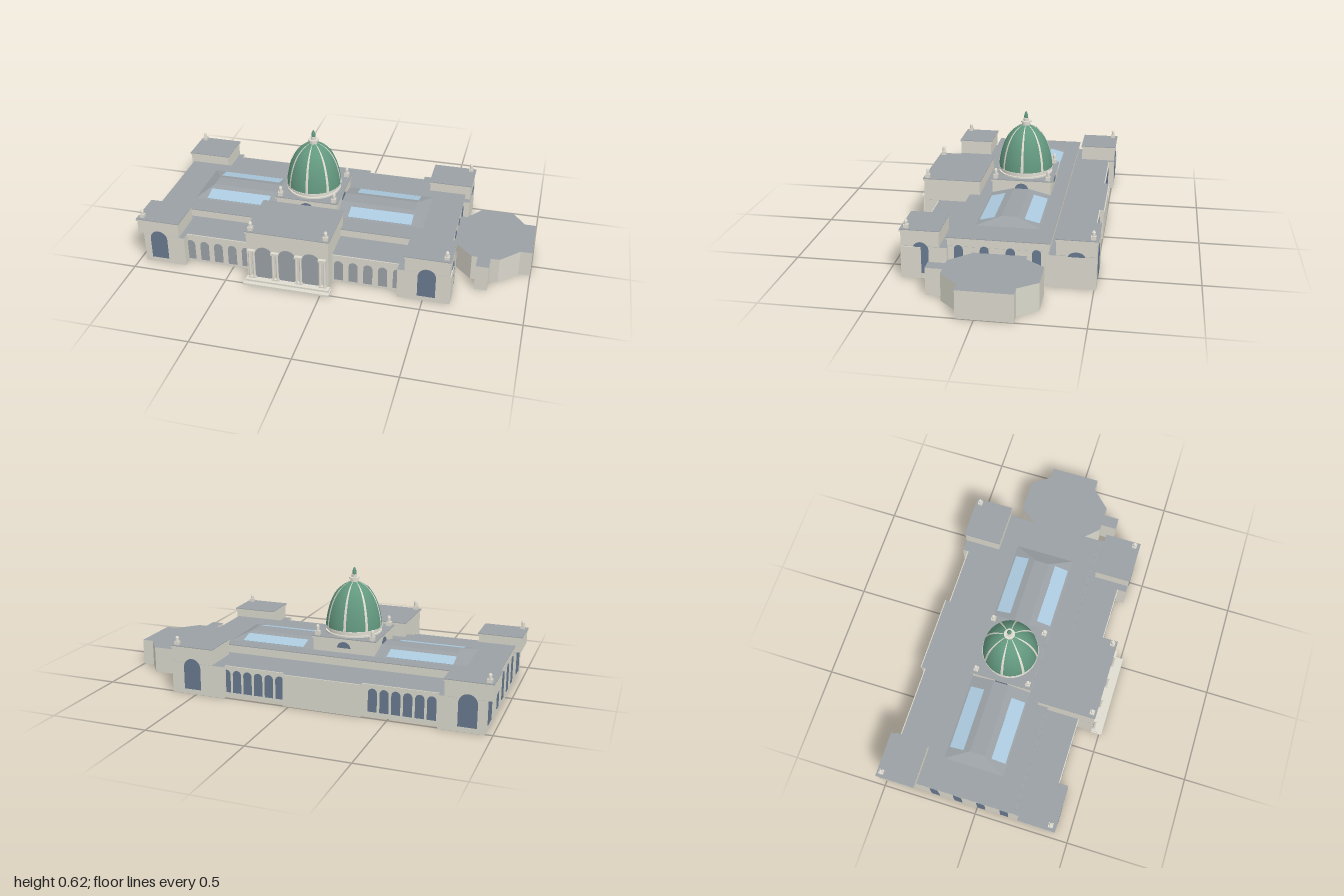
import * as THREE from 'three';

const mat = (name, color, side = THREE.FrontSide) =>
  Object.assign(new THREE.MeshStandardMaterial({ color, side }), { name });

export function createModel() {
  const wall = mat('stone', 0xdad8cc, THREE.DoubleSide);
  const roof = mat('roofGrey', 0x9aa0a4, THREE.DoubleSide);
  const windowBlue = mat('windowBlue', 0x67798f);
  const skylight = mat('skylight', 0xaccade);
  const copper = mat('copperGreen', 0x63987f);
  const trim = mat('trim', 0xdfdcd1, THREE.DoubleSide);

  const root = new THREE.Group();
  const CX = -0.183, DZ = -0.06;

  function add(geo, material, name, x = 0, y = 0, z = 0) {
    const m = new THREE.Mesh(geo, material);
    m.name = name;
    m.position.set(x, y, z);
    root.add(m);
    return m;
  }
  function box(name, x0, x1, y0, y1, z0, z1, material) {
    return add(new THREE.BoxGeometry(x1 - x0, y1 - y0, z1 - z0), material, name,
      (x0 + x1) / 2, (y0 + y1) / 2, (z0 + z1) / 2);
  }
  // Thin outer walls around a ground plan, open below, under a flat roof
  function shell(name, plan, h) {
    plan.forEach(([x0, z0], i) => {
      const [x1, z1] = plan[(i + 1) % plan.length];
      const side = new THREE.PlaneGeometry(Math.hypot(x1 - x0, z1 - z0), h);
      add(side, wall, name + 'Wall', (x0 + x1) / 2, h / 2, (z0 + z1) / 2).rotation.y = Math.atan2(z0 - z1, x1 - x0);
    });
    const shape = new THREE.Shape(plan.map(([x, z]) => new THREE.Vector2(x, -z)));
    add(new THREE.ShapeGeometry(shape), roof, name + 'Roof', 0, h, 0).rotation.x = -Math.PI / 2;
  }
  // Upper storey with a projecting cornice and flat roof
  function block(name, x0, x1, y0, y1, z0, z1, over = 0.006) {
    box(name + 'Walls', x0, x1, y0 + 0.001, y1 - 0.004, z0, z1, wall);
    box(name + 'Cornice', x0 - over, x1 + over, y1 - 0.012, y1 - 0.003, z0 - over, z1 + over, wall);
    box(name + 'Roof', x0 - over, x1 + over, y1 - 0.003, y1, z0 - over, z1 + over, roof);
  }
  // Thin round-headed plate; turn: 0 front, 1 left (+x), 2 back, 3 right (-x)
  function arch(name, x, z, y0, y1, w, turn, material) {
    const r = w / 2, s = new THREE.Shape();
    const spring = Math.max(y0, y1 - r);
    s.moveTo(-r, y0);
    s.lineTo(r, y0);
    s.lineTo(r, spring);
    s.absellipse(0, spring, r, y1 - spring, 0, Math.PI, false);
    s.lineTo(-r, y0);
    const geo = new THREE.ExtrudeGeometry(s, { depth: 0.003, bevelEnabled: false, curveSegments: 14 });
    add(geo, material, name, x, 0, z).rotation.y = turn * Math.PI / 2;
  }
  function pinnacle(x, y, z, h) {
    box('pinnacleBase', x - 0.012, x + 0.012, y, y + h * 0.4, z - 0.012, z + 0.012, trim);
    add(new THREE.CylinderGeometry(0.008, 0.009, h * 0.45, 10), trim, 'pinnacleShaft', x, y + h * 0.62, z);
    add(new THREE.CylinderGeometry(0.006, 0.01, h * 0.17, 10), trim, 'pinnacleCap', x, y + h * 0.91, z);
  }

  // Ground storey
  shell('groundStorey', [
    [-0.965, 0.424], [-0.745, 0.424], [-0.745, 0.375], [-0.394, 0.375], [-0.394, 0.455], [0.03, 0.455],
    [0.03, 0.375], [0.37, 0.375], [0.37, 0.424], [0.63, 0.424], [0.63, 0.2], [0.6, 0.2],
    [0.6, -0.285], [0.63, -0.285], [0.63, -0.51], [0.345, -0.51], [0.345, -0.478], [0.03, -0.478],
    [0.03, -0.502], [-0.37, -0.502], [-0.37, -0.478], [-0.745, -0.478], [-0.745, -0.51], [-0.965, -0.51],
  ], 0.165);
  for (const [x0, x1, z] of [[-0.745, -0.394, 0.375], [0.03, 0.37, 0.375], [-0.745, -0.37, -0.478],
    [-0.37, 0.03, -0.502], [0.03, 0.345, -0.478]]) {
    box('wingCornice', x0, x1, 0.153, 0.164, z - 0.005, z + 0.005, wall);
  }

  // Hall and its windows
  block('hall', -0.965, 0.6, 0.165, 0.21, -0.285, 0.205, 0.004);
  for (const z of [0.15, 0.025, -0.1, -0.225]) {
    arch('sideWindow', 0.6, z, 0.03, 0.172, 0.043, 1, windowBlue);
    arch('sideWindow', -0.965, z, 0.03, 0.172, 0.043, 3, windowBlue);
  }
  for (const s of [-1, 1]) {
    for (let i = 0; i < 5; i++) {
      arch('frontArcadeWindow', CX + s * (0.245 + i * 0.0755), 0.375, 0.015, 0.128, 0.046, 0, roof);
    }
    for (let i = 0; i < 6; i++) {
      arch('rearWindow', CX + s * (0.238 + i * 0.0575), -0.478, 0.025, 0.142, 0.044, 2, windowBlue);
    }
  }

  // Corner pavilions
  for (const s of [-1, 1]) for (const front of [true, false]) {
    const c = CX + s * 0.7, z = front ? 0.424 : -0.51;
    block('pavilion', c - 0.111, c + 0.111, 0.165, 0.249, front ? 0.238 : -0.51, front ? 0.424 : -0.318, 0.005);
    arch('pavilionWindow', c, z, 0.027, 0.187, 0.09, front ? 0 : 2, windowBlue);
    const low = s > 0 && !front ? 0.163 : 0.027;
    arch('pavilionSideWindow', s > 0 ? 0.63 : -0.965, front ? 0.328 : -0.415, low, 0.187, 0.078, s > 0 ? 1 : 3, windowBlue);
    pinnacle(CX + s * 0.79, 0.249, front ? 0.4 : -0.49, 0.042);
  }
  box('pavilionPier', 0.62, 0.636, 0.001, 0.163, 0.325, 0.424, wall);

  // Hipped roof with sloping skylights
  const hip = new THREE.BoxGeometry(1.245, 0.03, 0.32);
  const p = hip.attributes.position;
  for (let i = 0; i < p.count; i++) {
    if (p.getY(i) > 0) p.setXYZ(i, Math.sign(p.getX(i)) * 0.555, 0.015, Math.sign(p.getZ(i)) * 0.04);
  }
  hip.computeVertexNormals();
  add(hip, roof, 'hippedRoof', CX, 0.2245, DZ);
  for (const s of [-1, 1]) for (const t of [-1, 1]) {
    const pane = box('skylight', CX + s * 0.39 - 0.168, CX + s * 0.39 + 0.168, 0.2213, 0.2233,
      DZ + t * 0.112 - 0.038, DZ + t * 0.112 + 0.038, skylight);
    pane.rotation.x = t * Math.atan(0.03 / 0.12);
  }

  // Entrance porch
  block('porch', -0.394, 0.03, 0.165, 0.287, 0.155, 0.455);
  box('lowerStep', -0.402, 0.045, 0, 0.01, 0.456, 0.513, trim);
  box('upperStep', -0.396, 0.038, 0.01, 0.02, 0.456, 0.49, trim);
  for (const i of [-1, 0, 1]) arch('porchArch', CX + i * 0.122, 0.455, 0.02, 0.202, 0.092, 0, roof);
  for (const i of [-1.5, -0.5, 0.5, 1.5]) {
    const x = CX + i * 0.122;
    for (const d of [-0.011, 0.011]) {
      add(new THREE.CylinderGeometry(0.006, 0.007, 0.15, 10), trim, 'porchColumn', x + d, 0.098, 0.464);
    }
    box('columnPlinth', x - 0.02, x + 0.02, 0.02, 0.028, 0.456, 0.473, trim);
    box('columnCapital', x - 0.02, x + 0.02, 0.172, 0.184, 0.456, 0.473, trim);
  }
  for (const x of [-0.373, 0.013]) pinnacle(x, 0.287, 0.438, 0.048);

  // Square tower under the dome
  block('tower', CX - 0.162, CX + 0.162, 0.2, 0.287, DZ - 0.156, DZ + 0.156, 0.007);
  for (let k = 0; k < 4; k++) {
    const a = k * Math.PI / 2, d = k % 2 ? 0.162 : 0.156;
    arch('towerLunette', CX + Math.sin(a) * d, DZ + Math.cos(a) * d, 0.236, 0.267, 0.07, k, windowBlue);
  }
  for (const s of [-1, 1]) for (const t of [-1, 1]) pinnacle(CX + s * 0.145, 0.287, DZ + t * 0.14, 0.053);

  // Stepped drum
  for (const [r, y0, y1] of [[0.144, 0.286, 0.295], [0.134, 0.295, 0.309], [0.146, 0.309, 0.318]]) {
    add(new THREE.CylinderGeometry(r, r, y1 - y0, 48), trim, 'drumRing', CX, (y0 + y1) / 2, DZ);
  }

  // Dome with eight flat ribs
  const profile = new THREE.CatmullRomCurve3([
    [0.144, 0.317], [0.141, 0.35], [0.132, 0.397], [0.116, 0.447], [0.091, 0.492], [0.058, 0.525], [0.022, 0.545],
  ].map(([r, y]) => new THREE.Vector3(r, y, 0))).getPoints(28);
  const outline = grow => profile.map(q => new THREE.Vector2(q.x + grow, q.y + grow));
  add(new THREE.LatheGeometry(outline(0), 48), copper, 'dome', CX, 0, DZ);
  const rib = new THREE.LatheGeometry(outline(0.002), 3, -0.048, 0.096);
  for (let k = 0; k < 8; k++) add(rib, trim, 'domeRib', CX, 0, DZ).rotation.y = k * Math.PI / 4;

  // Lantern and finial
  for (const [r, y0, y1] of [[0.021, 0.535, 0.562], [0.028, 0.562, 0.568], [0.014, 0.568, 0.583]]) {
    add(new THREE.CylinderGeometry(r, r, y1 - y0, 20), trim, 'lantern', CX, (y0 + y1) / 2, DZ);
  }
  const tip = [[0.01, 0.583], [0.011, 0.591], [0.009, 0.603], [0.004, 0.616], [0, 0.621]].map(q => new THREE.Vector2(...q));
  add(new THREE.LatheGeometry(tip, 16), copper, 'finial', CX, 0, DZ);

  // Many-sided annex on the left flank
  shell('annex', [
    [0.601, -0.18], [0.635, -0.18], [0.705, -0.275], [0.87, -0.275], [0.94, -0.18], [1, -0.18], [1, 0.085], [0.94, 0.085],
    [0.845, 0.183], [0.8, 0.183], [0.8, 0.266], [0.735, 0.266], [0.735, 0.183], [0.705, 0.183], [0.61, 0.085], [0.601, 0.085],
  ], 0.138);
  return root;
}
